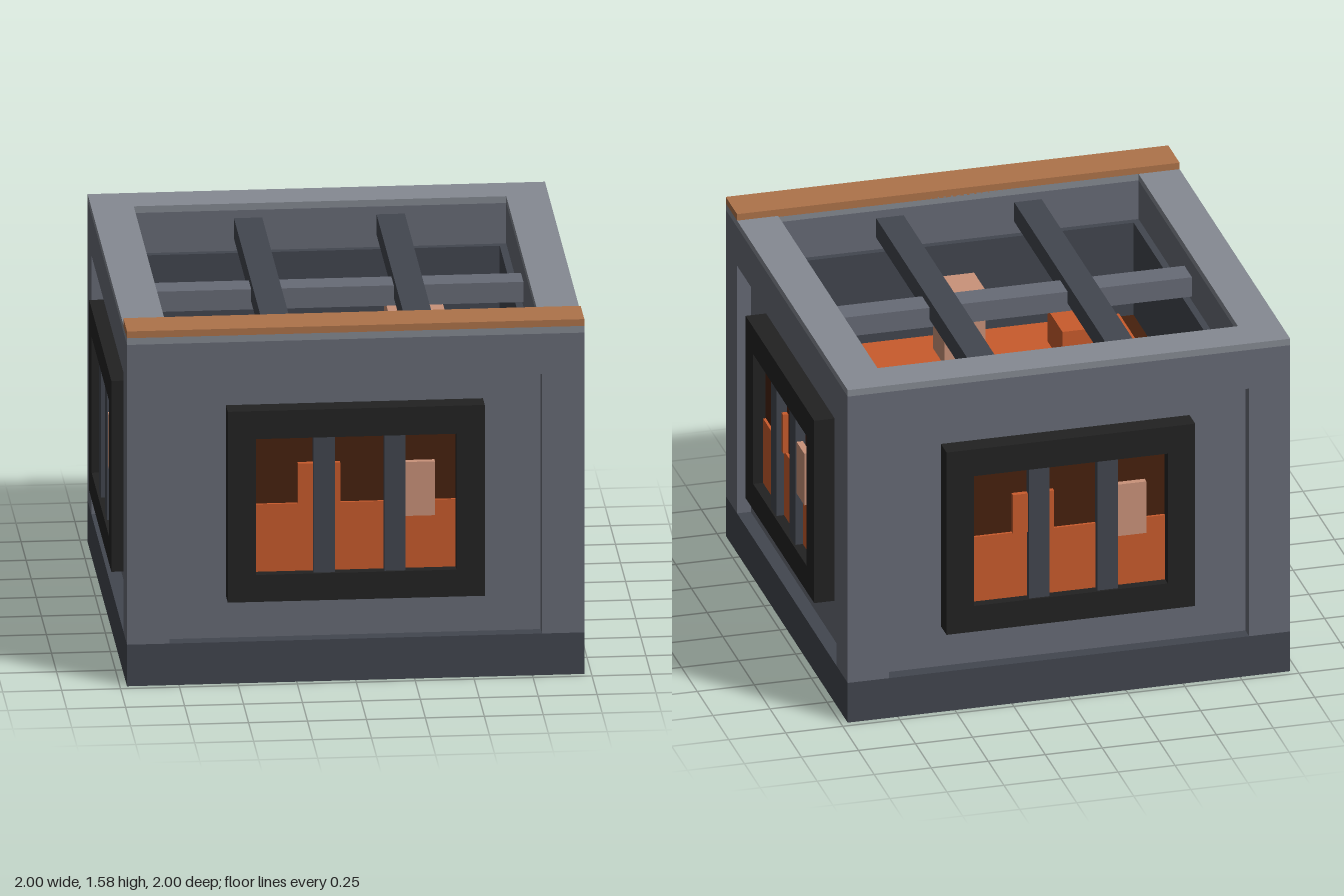
import * as THREE from 'three';

const mat = (name, color) => {
  const m = new THREE.MeshStandardMaterial({ color });
  m.name = name;
  return m;
};

export function createModel() {
  const stone = mat('stone grey', 0x676b76);
  const dark = mat('dark iron', 0x42464f);
  const pale = mat('pale stone', 0x858a92);
  const copper = mat('copper', 0xae734a);
  const black = mat('black iron', 0x222222);
  const brown = mat('charred brown', 0x47210d);
  const orange = mat('ember orange', 0xc95b2c);
  const tan = mat('hot ember', 0xca927a);

  const root = new THREE.Group();
  root.name = 'firePit';

  // Box given by its extents on each axis
  const box = (parent, name, m, [x0, x1], [y0, y1], [z0, z1]) => {
    const mesh = new THREE.Mesh(new THREE.BoxGeometry(x1 - x0, y1 - y0, z1 - z0), m);
    mesh.position.set((x0 + x1) / 2, (y0 + y1) / 2, (z0 + z1) / 2);
    mesh.name = name;
    parent.add(mesh);
    return mesh;
  };

  // Rectangle outline for shapes and holes
  const rect = (Type, x0, x1, y0, y1) => {
    const p = new Type();
    p.moveTo(x0, y0);
    p.lineTo(x1, y0);
    p.lineTo(x1, y1);
    p.lineTo(x0, y1);
    p.closePath();
    return p;
  };

  // Square ring lying flat, between two heights
  const ring = (name, m, outer, inner, y0, y1) => {
    const s = rect(THREE.Shape, -outer, outer, -outer, outer);
    s.holes.push(rect(THREE.Path, -inner, inner, -inner, inner));
    const g = new THREE.ExtrudeGeometry(s, { depth: y1 - y0, bevelEnabled: false });
    g.rotateX(-Math.PI / 2);
    const mesh = new THREE.Mesh(g, m);
    mesh.position.y = y0;
    mesh.name = name;
    root.add(mesh);
  };

  // Base, upper band, rim and inner liner
  box(root, 'base', dark, [-0.97, 0.97], [0, 0.185], [-0.97, 0.97]);
  ring('upperBand', stone, 0.97, 0.79, 1.34, 1.52);
  ring('rim', pale, 0.97, 0.79, 1.52, 1.55);
  ring('liner', dark, 0.79, 0.76, 0.185, 1.34);
  box(root, 'copperLedge', copper, [-0.97, 0.97], [1.545, 1.58], [0.79, 0.97]);

  // Corner posts
  for (const x of [-0.88, 0.88]) {
    for (const z of [-0.88, 0.88]) {
      box(root, 'cornerPost', stone, [x - 0.09, x + 0.09], [0.185, 1.34], [z - 0.09, z + 0.09]);
    }
  }

  // Four identical sides: recessed panel and barred window with glowing coals
  for (let i = 0; i < 4; i++) {
    const side = new THREE.Group();
    side.name = 'side' + (i + 1);
    side.rotation.y = (i * Math.PI) / 2;
    root.add(side);

    box(side, 'panel', stone, [-0.79, 0.79], [0.185, 1.34], [0.79, 0.91]);

    const s = rect(THREE.Shape, -0.545, 0.545, 0.37, 1.22);
    s.holes.push(rect(THREE.Path, -0.425, 0.425, 0.49, 1.095));
    const frame = new THREE.Mesh(
      new THREE.ExtrudeGeometry(s, { depth: 0.09, bevelEnabled: false }), black);
    frame.position.z = 0.91;
    frame.name = 'windowFrame';
    side.add(frame);

    box(side, 'windowBack', brown, [-0.425, 0.425], [0.49, 1.095], [0.91, 0.945]);
    box(side, 'glow', orange, [-0.425, 0.425], [0.49, 0.79], [0.945, 0.957]);
    box(side, 'glowPeak', orange, [-0.245, -0.065], [0.79, 0.97], [0.945, 0.968]);
    box(side, 'hotCoal', tan, [0.2, 0.335], [0.73, 0.97], [0.957, 0.985]);
    for (const x of [-0.18, 0.12]) {
      box(side, 'windowBar', dark, [x, x + 0.09], [0.49, 1.095], [0.945, 0.99]);
    }
  }

  // Ember bed and coals
  box(root, 'ashBed', brown, [-0.76, 0.76], [0.185, 0.91], [-0.76, 0.76]);
  box(root, 'emberBed', orange, [-0.67, 0.665], [0.91, 0.97], [-0.67, 0.665]);
  box(root, 'coal', orange, [-0.365, -0.065], [0.97, 1.15], [-0.43, -0.125]);
  box(root, 'coal', orange, [-0.545, -0.305], [0.97, 1.12], [0.24, 0.48]);
  box(root, 'hotCoal', tan, [0.24, 0.48], [0.97, 1.24], [-0.43, -0.19]);
  box(root, 'hotCoal', tan, [0, 0.18], [0.97, 1.3], [0.36, 0.54]);

  // Grate across the top
  for (const x of [-0.305, 0.3]) {
    box(root, 'grateBar', dark, [x - 0.06, x + 0.06], [1.395, 1.485], [-0.79, 0.79]);
  }
  box(root, 'crossBar', stone, [-0.79, 0.79], [1.36, 1.45], [-0.06, 0.06]);

  return root;
}
